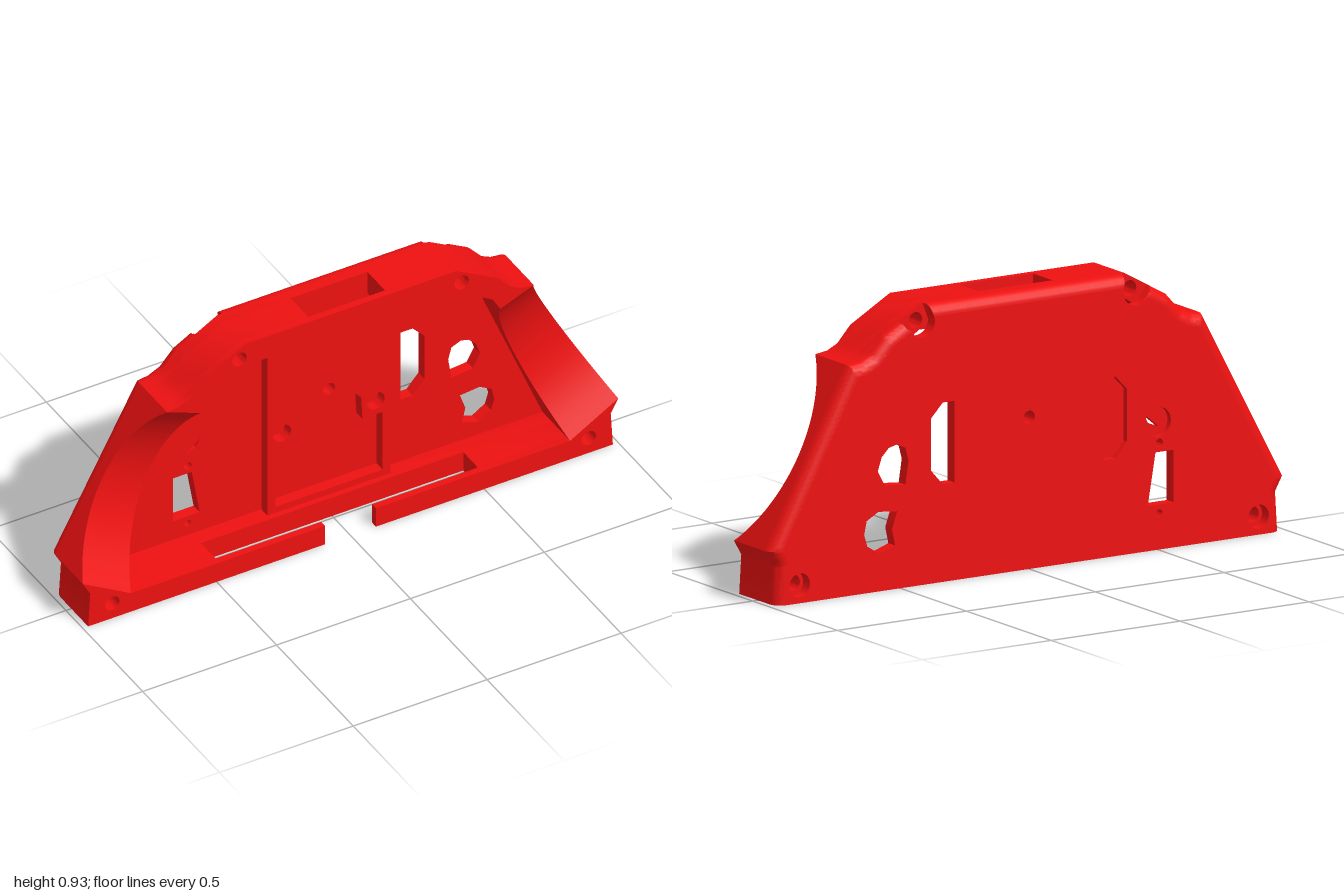
import * as THREE from 'three';
import { toCreasedNormals } from 'three/addons/utils/BufferGeometryUtils.js';

const material = new THREE.MeshStandardMaterial({ color: 0xee1111, side: THREE.DoubleSide });
const FRONT = 0.11, BACK = -0.11, FLOOR = -0.07, MID = -0.09, FILLET = 0.04;

// right half of the outer outline, bottom to top
const SIDE = [[0.98, 0], [0.972, 0.13], [1, 0.18], [0.685, 0.76], [0.64, 0.766], [0.6, 0.785], [0.55, 0.84], [0.395, 0.927]];
const flip = (pts, s) => pts.map(([x, y]) => [s * x, y]);
const OUTLINE = [...SIDE, ...flip(SIDE, -1).reverse()];
const circle = (x, y, r, n = 24) => Array.from({ length: n }, (_, i) =>
  [x + r * Math.cos(i / n * Math.PI * 2), y + r * Math.sin(i / n * Math.PI * 2)]);
const toPath = (pts) => pts.map(([x, y]) => new THREE.Vector2(x, y));

function add(group, name, geometry) {
  const mesh = new THREE.Mesh(geometry, material);
  mesh.name = name;
  group.add(mesh);
}

// flat slab between two depths, with holes
function slab(group, name, pts, holes, z0, z1) {
  const shape = new THREE.Shape(toPath(pts));
  holes.forEach((h) => shape.holes.push(new THREE.Path(toPath(h))));
  const geometry = new THREE.ExtrudeGeometry(shape, { depth: z1 - z0, bevelEnabled: false });
  geometry.translate(0, 0, z0);
  add(group, name, toCreasedNormals(geometry, 0.6));
}

// skin over rows of cross-section points
function loft(rows, mirrored = false) {
  const pos = [];
  for (let r = 0; r < rows.length - 1; r++) {
    for (let i = 0; i < rows[r].length - 1; i++) {
      const a = rows[r][i], b = rows[r][i + 1], c = rows[r + 1][i + 1], d = rows[r + 1][i];
      const tris = mirrored ? [a, b, c, a, c, d] : [a, d, c, a, c, b];
      tris.forEach((p) => pos.push(...p));
    }
  }
  const geometry = new THREE.BufferGeometry();
  geometry.setAttribute('position', new THREE.Float32BufferAttribute(pos, 3));
  return toCreasedNormals(geometry, 0.6);
}

// outline moved inwards; the bottom edge stays in place
function inset(a) {
  const n = OUTLINE.length;
  const normal = (p, q) => {
    const l = Math.hypot(q[0] - p[0], q[1] - p[1]);
    return [-(q[1] - p[1]) / l, (q[0] - p[0]) / l];
  };
  return OUTLINE.map((p, i) => {
    if (p[1] === 0) return [p[0] - Math.sign(p[0]) * a, 0];
    const m = normal(OUTLINE[(i + n - 1) % n], p), k = normal(p, OUTLINE[(i + 1) % n]);
    const f = a / (1 + m[0] * k[0] + m[1] * k[1]);
    return [p[0] + (m[0] + k[0]) * f, p[1] + (m[1] + k[1]) * f];
  });
}

// upper screw recesses cut through the rounded edge
function notch([x, y]) {
  const s = Math.sign(x) || 1, r = 0.05, dx = s * x - 0.415, dy = y - 0.873;
  const u = dx * 0.88 - dy * 0.47, v = dx * 0.47 + dy * 0.88;
  if (Math.abs(u) >= r || v < -0.03 || v > 0.1) return [x, y];
  const w = -Math.sqrt(r * r - u * u);
  return [s * (0.415 + u * 0.88 + w * 0.47), 0.873 - u * 0.47 + w * 0.88];
}

function ring(a) {
  const pts = inset(a), out = [];
  pts.forEach((p, i) => {
    const j = (i + 1) % pts.length, o = OUTLINE[i], q = OUTLINE[j];
    const steps = Math.max(1, Math.ceil(Math.hypot(q[0] - o[0], q[1] - o[1]) / 0.008));
    for (let k = 0; k < steps; k++) {
      const t = k / steps;
      out.push(notch([p[0] + (pts[j][0] - p[0]) * t, p[1] + (pts[j][1] - p[1]) * t]));
    }
  });
  return out;
}

export function createModel() {
  const group = new THREE.Group();

  // rounded back edge
  const rows = [];
  for (let i = 0; i <= 8; i++) {
    const a = i / 8 * Math.PI / 2;
    const pts = ring(FILLET * (1 - Math.cos(a)));
    rows.push([...pts, pts[0]].map(([x, y]) => [x, y, FLOOR - FILLET * Math.sin(a)]));
  }
  add(group, 'roundedBackEdge', loft(rows));

  // back plate in two layers, so some pockets stay blind
  const hexSlot = [[0.29, 0.325], [0.29, 0.597], [0.335, 0.597], [0.38, 0.55], [0.38, 0.375], [0.335, 0.325]];
  const through = [
    hexSlot,
    [[0.48, 0.342], [0.56, 0.35], [0.587, 0.4], [0.572, 0.445], [0.545, 0.472], [0.515, 0.48], [0.48, 0.465], [0.468, 0.42]],
    [[0.512, 0.258], [0.585, 0.265], [0.63, 0.24], [0.64, 0.195], [0.628, 0.155], [0.58, 0.125], [0.52, 0.145], [0.532, 0.2]],
    [[-0.56, 0.325], [-0.49, 0.325], [-0.46, 0.15], [-0.56, 0.15]],
    circle(-0.505, 0.355, 0.014),
    circle(-0.505, 0.122, 0.012),
    circle(0, 0.505, 0.022),
    circle(0.89, 0.06, 0.04),
    circle(-0.89, 0.06, 0.04),
  ];
  const cap = ring(FILLET);
  slab(group, 'backPlateOuter', cap, [...through, flip(hexSlot, -1), circle(-0.5, 0.425, 0.05)], BACK, MID);
  slab(group, 'backPlateInner', cap, [...through, [[-0.515, 0.405], [-0.455, 0.455], [-0.475, 0.42]]], MID, FLOOR);

  // centre panel with its pocket and screw holes
  const half = [[0.2, 0.1], [0.2, 0.335], [0.125, 0.335], [0.12, 0.425], [0.1, 0.447]];
  slab(group, 'centrePanel', [[-0.23, 0.07], [0.23, 0.07], [0.23, 0.845], [-0.23, 0.845]],
    [[...half, ...flip(half, -1).reverse()], circle(0, 0.505, 0.022), circle(0.175, 0.39, 0.033), circle(-0.175, 0.39, 0.033)],
    FLOOR, -0.03);

  for (const s of [1, -1]) {
    // top rail, opened in the middle layer for the cable slot
    for (const [z0, z1, gap] of [[FLOOR, -0.03, 0], [-0.03, 0.085, 0.143], [0.085, FRONT, 0]]) {
      const pts = [[gap, 0.927], ...SIDE.slice(3).reverse(), [0.56, 0.71], [0.53, 0.76], [0.4, 0.84], [gap, 0.84]];
      slab(group, 'topRail', flip(pts, s), [circle(s * 0.415, 0.873, 0.027)], z0, z1);
    }
    // bottom rail with a long slot and a split front lip
    for (const [z0, z1, gap] of [[FLOOR, -0.01, 0], [-0.01, 0.085, 0.49], [0.085, FRONT, 0.095]]) {
      const pts = [[gap, 0], ...SIDE.slice(0, 3), [0.82, 0.075], [gap, 0.075]];
      slab(group, 'bottomRail', flip(pts, s), [circle(s * 0.89, 0.06, 0.027)], z0, z1);
    }
    // slanted side wall with a scooped front edge
    const sections = [], n = 32, length = 0.66, sag = 0.14;
    const R = (length * length / 4 + sag * sag) / (2 * sag);
    for (let i = 0; i <= n; i++) {
      const t = i / n, u = length * (t - 0.5);
      const z = FRONT - (Math.sqrt(R * R - u * u) - (R - sag));
      const xi = s * (0.56 + 0.26 * t), yi = 0.71 - 0.635 * t;
      const xo = s * (0.685 + 0.315 * t), yo = 0.76 - 0.58 * t;
      sections.push([[xi, yi, FLOOR], [xi, yi, z], [xo, yo, z], [xo, yo, FLOOR]]);
    }
    add(group, s > 0 ? 'leftScoopedWall' : 'rightScoopedWall', loft(sections, s < 0));
  }
  return group;
}
